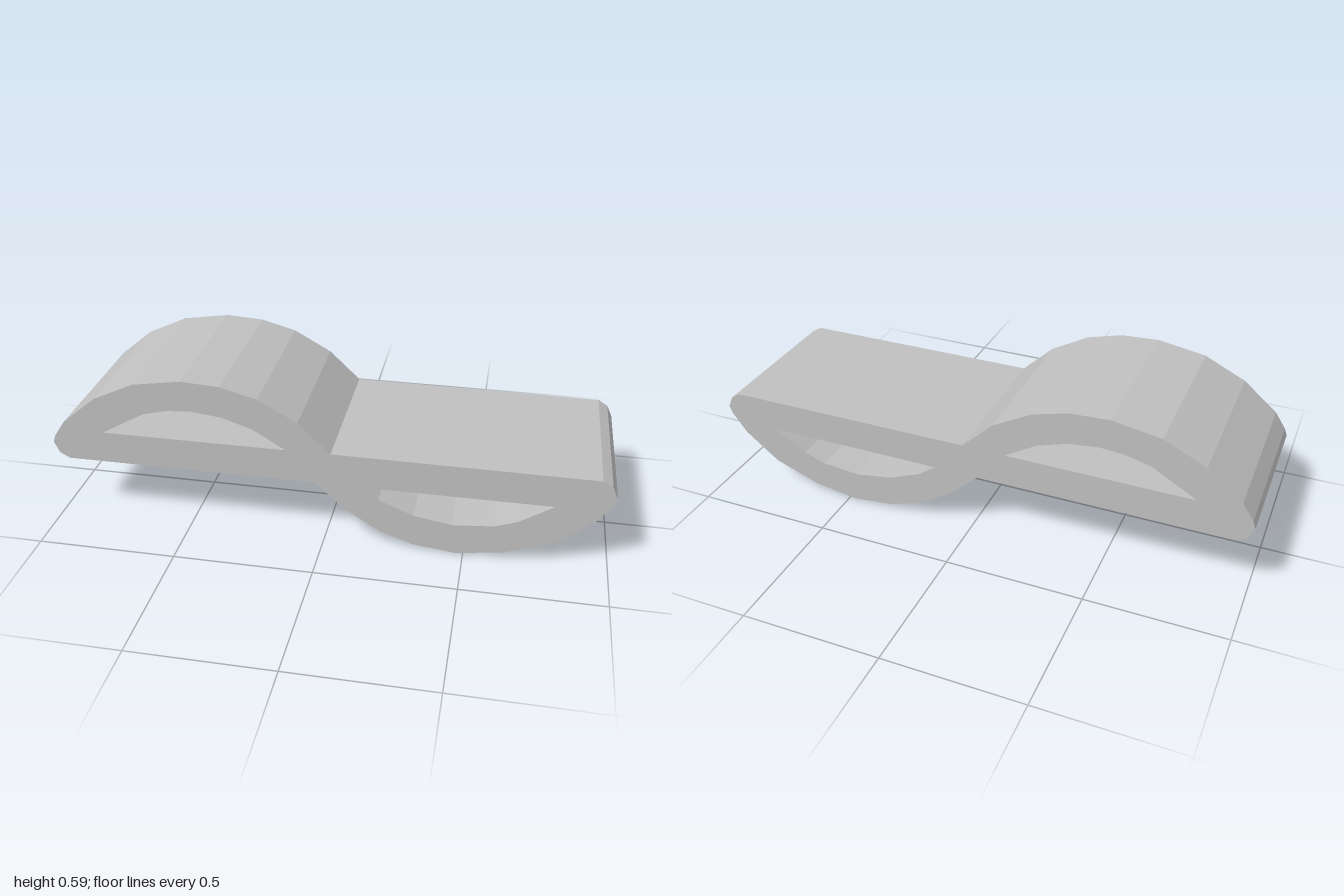
import * as THREE from 'three';

const DEPTH = 0.59;

// Outer outline, counter-clockwise: lower bowl, right tip, upper arch, left tip
const OUTLINE = [
  [-0.945, 0.236], [-0.03, 0.236], [0.072, 0.139], [0.2, 0.06], [0.32, 0.018],
  [0.475, 0], [0.64, 0.025], [0.81, 0.088], [0.935, 0.187], [0.99, 0.262],
  [1, 0.29], [0.98, 0.333], [0.945, 0.354], [0.025, 0.357], [-0.09, 0.467],
  [-0.23, 0.545], [-0.36, 0.58], [-0.5, 0.588], [-0.675, 0.56], [-0.825, 0.489],
  [-0.95, 0.385], [-0.99, 0.326], [-1, 0.298], [-0.98, 0.255],
];

// Openings under the arch and inside the bowl
const ARCH_HOLE = [
  [-0.805, 0.356], [-0.645, 0.447], [-0.56, 0.468], [-0.47, 0.475],
  [-0.36, 0.462], [-0.25, 0.426], [-0.135, 0.356],
];
const BOWL_HOLE = [
  [0.135, 0.235], [0.195, 0.19], [0.32, 0.139], [0.457, 0.117],
  [0.6, 0.13], [0.68, 0.158], [0.8, 0.235],
];

const points = (list) => list.map(([x, y]) => new THREE.Vector2(x, y));

export function createModel() {
  const group = new THREE.Group();
  const grey = new THREE.MeshStandardMaterial({ color: 0xc0c0c0 });
  grey.name = 'lightGrey';

  // One faceted S-shaped band with two crescent openings
  const shape = new THREE.Shape(points(OUTLINE));
  shape.holes.push(new THREE.Path(points(ARCH_HOLE)), new THREE.Path(points(BOWL_HOLE)));
  const geometry = new THREE.ExtrudeGeometry(shape, { depth: DEPTH, bevelEnabled: false });
  geometry.translate(0, 0, -DEPTH / 2);

  const band = new THREE.Mesh(geometry, grey);
  band.name = 'waveBand';
  group.add(band);
  return group;
}
